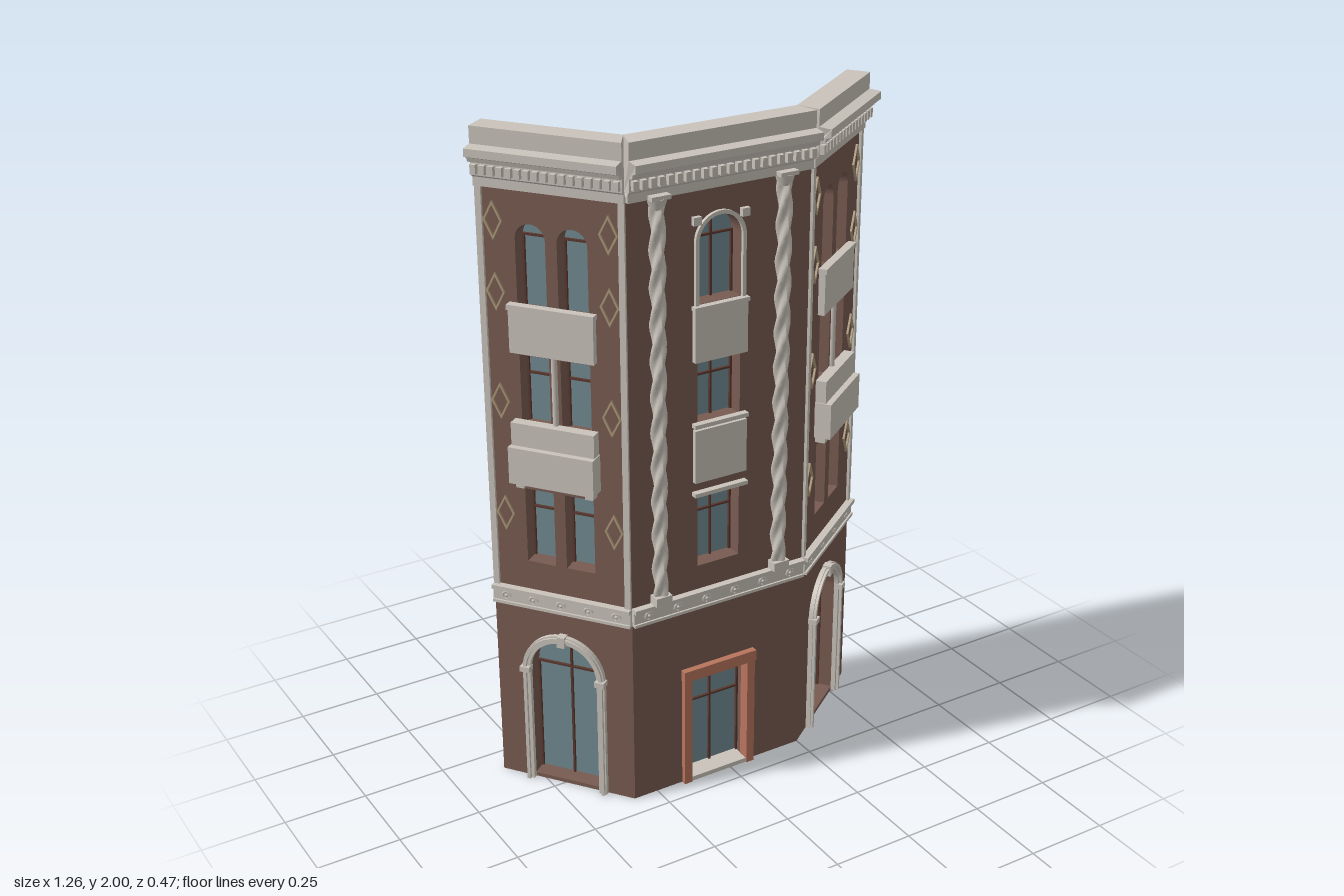
import * as THREE from 'three';

const mat = (name, color, side = THREE.FrontSide) => {
  const m = new THREE.MeshStandardMaterial({ color, side });
  m.name = name;
  return m;
};

export function createModel() {
  const brick = mat('brick', 0x785b51);
  const stone = mat('stone', 0xc9c3ba);
  const glass = mat('glass', 0x718a90, THREE.DoubleSide);
  const frame = mat('window frame', 0x5a382e);
  const terracotta = mat('terracotta', 0xb8745d);
  const tan = mat('tan ornament', 0xab9878);
  const root = new THREE.Group();
  root.name = 'cornerFacade';

  const add = (g, name, geo, m, x = 0, y = 0, z = 0) => {
    const o = new THREE.Mesh(geo, m);
    o.name = name;
    o.position.set(x, y, z);
    g.add(o);
    return o;
  };
  // box given by its x, y and z ranges
  const box = (g, name, m, x0, x1, y0, y1, z0, z1) =>
    add(g, name, new THREE.BoxGeometry(x1 - x0, y1 - y0, z1 - z0), m,
      (x0 + x1) / 2, (y0 + y1) / 2, (z0 + z1) / 2);

  // outline of an opening, with a round head if arched
  const outline = (Type, { x, a, y0, y1, arched }) => {
    const p = new Type();
    p.moveTo(x - a, y0);
    p.lineTo(x + a, y0);
    if (arched) {
      p.lineTo(x + a, y1 - a);
      p.absarc(x, y1 - a, a, 0, Math.PI, false);
    } else {
      p.lineTo(x + a, y1);
      p.lineTo(x - a, y1);
    }
    p.closePath();
    return p;
  };

  // round-headed surround between half widths a and A
  const archTrim = (g, name, x, a, A, y0, s, depth) => {
    const p = new THREE.Shape();
    p.moveTo(-A, y0);
    p.lineTo(-A, s);
    p.absarc(0, s, A, Math.PI, 0, true);
    p.lineTo(A, y0);
    p.lineTo(a, y0);
    p.lineTo(a, s);
    p.absarc(0, s, a, 0, Math.PI, false);
    p.lineTo(-a, y0);
    add(g, name, new THREE.ExtrudeGeometry(p, { depth, bevelEnabled: false, curveSegments: 14 }), stone, x);
  };

  // slant the inner end faces so neighbouring panels meet
  const mitre = (geo, L, sL, sR) => {
    const p = geo.attributes.position;
    for (let i = 0; i < p.count; i++) {
      const x = p.getX(i), d = Math.max(0, -p.getZ(i));
      if (x < 1e-4) p.setX(i, x + d * sL);
      else if (x > L - 1e-4) p.setX(i, x - d * sR);
    }
    geo.computeVertexNormals();
    return geo;
  };

  // one straight wall with openings, frieze and cornice; local z points outward
  const panel = (name, px, pz, turn, L, sL, sR, openings) => {
    const g = new THREE.Group();
    g.name = name;
    g.position.set(px, 0, pz);
    g.rotation.y = turn;
    root.add(g);

    const wall = new THREE.Shape();
    [[0, 0], [L, 0], [L, 1.85], [0, 1.85]].forEach(([x, y], i) => i ? wall.lineTo(x, y) : wall.moveTo(x, y));
    openings.forEach(o => wall.holes.push(outline(THREE.Path, o)));
    const wg = new THREE.ExtrudeGeometry(wall, { depth: 0.12, bevelEnabled: false, curveSegments: 12 });
    add(g, 'wall', mitre(wg.translate(0, 0, -0.12), L, sL, sR), brick);

    // panes and glazing bars
    openings.forEach(o => {
      const { x, a, y0, y1, bar } = o;
      add(g, 'pane', new THREE.ShapeGeometry(outline(THREE.Shape, o), 12), glass, 0, 0, -0.05);
      if (bar) box(g, 'mullion', frame, x - 0.003, x + 0.003, y0, y1, -0.05, -0.042);
      const t = o.arched ? y1 - a : y0 + (y1 - y0) * 0.68;
      box(g, 'transom', frame, x - a, x + a, t - 0.003, t + 0.003, -0.05, -0.042);
      for (const s of [-1, 1])
        box(g, 'sash', frame, x + s * (a - 0.003) - 0.003, x + s * (a - 0.003) + 0.003, y0, o.arched ? y1 - a : y1, -0.05, -0.042);
    });

    // frieze with running scrolls
    box(g, 'frieze', stone, 0, L, 0.592, 0.642, 0, 0.012);
    box(g, 'friezeTopLip', stone, 0, L, 0.632, 0.645, 0, 0.022);
    box(g, 'friezeBottomLip', stone, 0, L, 0.588, 0.597, 0, 0.018);
    const n = Math.round(L / 0.095);
    for (let i = 0; i < n; i++) {
      const x = (i + 0.5) * L / n;
      add(g, 'scroll', new THREE.TorusGeometry(0.012, 0.0035, 5, 12, 4.7), stone, x, 0.614, 0.013);
      add(g, 'scrollBud', new THREE.SphereGeometry(0.005, 6, 5), stone, x, 0.614, 0.013);
    }

    // cornice profile swept along the wall
    const prof = new THREE.Shape([[-0.05, 1.85], [0, 1.85], [0, 1.837], [0.012, 1.837], [0.012, 1.862],
      [0.02, 1.868], [0.02, 1.905], [0.036, 1.908], [0.04, 1.92], [0.055, 1.926], [0.055, 1.948],
      [0.02, 1.952], [0.02, 2], [-0.05, 2]].map(([x, y]) => new THREE.Vector2(x, y)));
    const cg = new THREE.ExtrudeGeometry(prof, { depth: L, bevelEnabled: false });
    add(g, 'cornice', mitre(cg.rotateY(-Math.PI / 2).translate(L, 0, 0), L, sL, sR), stone);
    const d = Math.round(L / 0.026);
    for (let i = 0; i < d; i++) {
      const x = (i + 0.5) * L / d;
      box(g, 'dentil', stone, x - 0.008, x + 0.008, 1.874, 1.9, 0.018, 0.034);
    }
    return g;
  };

  // side wings
  const wing = (name, px, pz, turn, L, sL, sR) => {
    const c = L / 2, list = [{ x: c, a: 0.108, y0: 0.012, y1: 0.49, arched: true, bar: true }];
    for (const s of [-1, 1]) {
      const x = c + s * 0.061;
      list.push({ x, a: 0.044, y0: 1.5, y1: 1.745, arched: true },
        { x, a: 0.044, y0: 1.16, y1: 1.37 }, { x, a: 0.044, y0: 0.735, y1: 0.965 });
    }
    const g = panel(name, px, pz, turn, L, sL, sR, list);

    // doorway surround
    archTrim(g, 'doorSurround', c, 0.106, 0.13, 0, 0.382, 0.014);
    archTrim(g, 'doorSurroundRoll', c, 0.116, 0.126, 0, 0.382, 0.022);
    box(g, 'keystone', stone, c - 0.012, c + 0.012, 0.482, 0.516, 0, 0.026);
    for (const s of [-1, 1]) {
      const x = c + s * 0.119;
      box(g, 'doorCapital', stone, x - 0.015, x + 0.015, 0.375, 0.392, 0, 0.027);
    }

    // balconies
    box(g, 'upperBalcony', stone, c - 0.125, c + 0.125, 1.38, 1.515, 0, 0.02);
    box(g, 'upperBalconyRail', stone, c - 0.128, c + 0.128, 1.505, 1.52, 0, 0.025);
    box(g, 'lowerBalconyParapet', stone, c - 0.125, c + 0.125, 1.11, 1.178, 0, 0.032);
    box(g, 'lowerBalcony', stone, c - 0.128, c + 0.128, 1.0, 1.11, 0, 0.05);
    for (const s of [-1, 1]) {
      box(g, 'balconyBracket', stone, c + s * 0.105 - 0.012, c + s * 0.105 + 0.012, 0.98, 1.0, 0, 0.03);
      // edge strips
      const e = c + s * (c - 0.01);
      box(g, 'edgeStrip', stone, e - 0.009, e + 0.009, 0.645, 1.84, 0, 0.008);
      // open diamonds
      for (const y of [1.745, 1.545, 1.225, 0.88]) {
        const dia = (T, w, h) => new T([[0, -h], [w, 0], [0, h], [-w, 0]].map(([a, b]) => new THREE.Vector2(a, b)));
        const shape = dia(THREE.Shape, 0.028, 0.055);
        shape.holes.push(dia(THREE.Path, 0.022, 0.043));
        add(g, 'diamond', new THREE.ExtrudeGeometry(shape, { depth: 0.006, bevelEnabled: false }), tan, c + s * 0.167, y, 0);
      }
    }
    add(g, 'windowColonnette', new THREE.CylinderGeometry(0.009, 0.009, 0.21, 8), stone, c, 1.275, 0.004);
  };
  wing('rightWing', -0.585, -0.165, -0.93, 0.431, 0, 0.5);
  wing('leftWing', 0.249, 0.18, 0.62, 0.425, 0.32, 0);

  // centre front
  const L = 0.576, c = 0.285, a = 0.069;
  const f = panel('centreFront', -0.327, 0.18, 0, L, 0.5, 0.32, [
    { x: c, a: 0.1, y0: 0.012, y1: 0.355, bar: true },
    { x: c, a, y0: 0.72, y1: 0.945, bar: true },
    { x: c, a, y0: 1.165, y1: 1.35, bar: true },
    { x: c, a, y0: 1.515, y1: 1.76, arched: true, bar: true },
  ]);

  // door casing and threshold
  for (const s of [-1, 1])
    box(f, 'doorJamb', terracotta, c + s * 0.109 - 0.013, c + s * 0.109 + 0.013, 0, 0.355, -0.02, 0.016);
  box(f, 'doorLintel', terracotta, c - 0.124, c + 0.124, 0.355, 0.39, 0, 0.02);
  box(f, 'threshold', stone, c - 0.098, c + 0.098, 0, 0.014, -0.05, 0.012);

  // window aprons, ledges and arched trim
  box(f, 'upperApron', stone, c - 0.084, c + 0.084, 1.352, 1.5, 0, 0.015);
  box(f, 'lowerApron', stone, c - 0.084, c + 0.084, 0.99, 1.15, 0, 0.015);
  for (const y of [1.502, 1.158, 0.948])
    box(f, 'ledge', stone, c - 0.087, c + 0.087, y, y + 0.012, 0, 0.02);
  archTrim(f, 'archTrim', c, a, 0.08, 1.515, 1.691, 0.01);
  for (const s of [-1, 1])
    box(f, 'trimCapital', stone, c + s * 0.076 - 0.012, c + s * 0.076 + 0.012, 1.742, 1.765, 0, 0.014);

  // twisted columns
  for (const x of [0.087, 0.484]) {
    const geo = new THREE.CylinderGeometry(1, 1, 1.15, 16, 96, true);
    const p = geo.attributes.position;
    for (let i = 0; i < p.count; i++) {
      const t = Math.atan2(p.getZ(i), p.getX(i));
      const r = 0.019 + 0.005 * Math.cos(3 * t + p.getY(i) * 60);
      p.setXYZ(i, Math.cos(t) * r, p.getY(i), Math.sin(t) * r);
    }
    geo.computeVertexNormals();
    add(f, 'twistedColumn', geo, stone, x, 1.245, 0.01);
    box(f, 'columnBase', stone, x - 0.026, x + 0.026, 0.645, 0.672, 0, 0.034);
    add(f, 'columnCapital', new THREE.CylinderGeometry(0.029, 0.02, 0.03, 12), stone, x, 1.825, 0.01);
    box(f, 'columnAbacus', stone, x - 0.029, x + 0.029, 1.838, 1.85, 0, 0.036);
  }
  return root;
}
